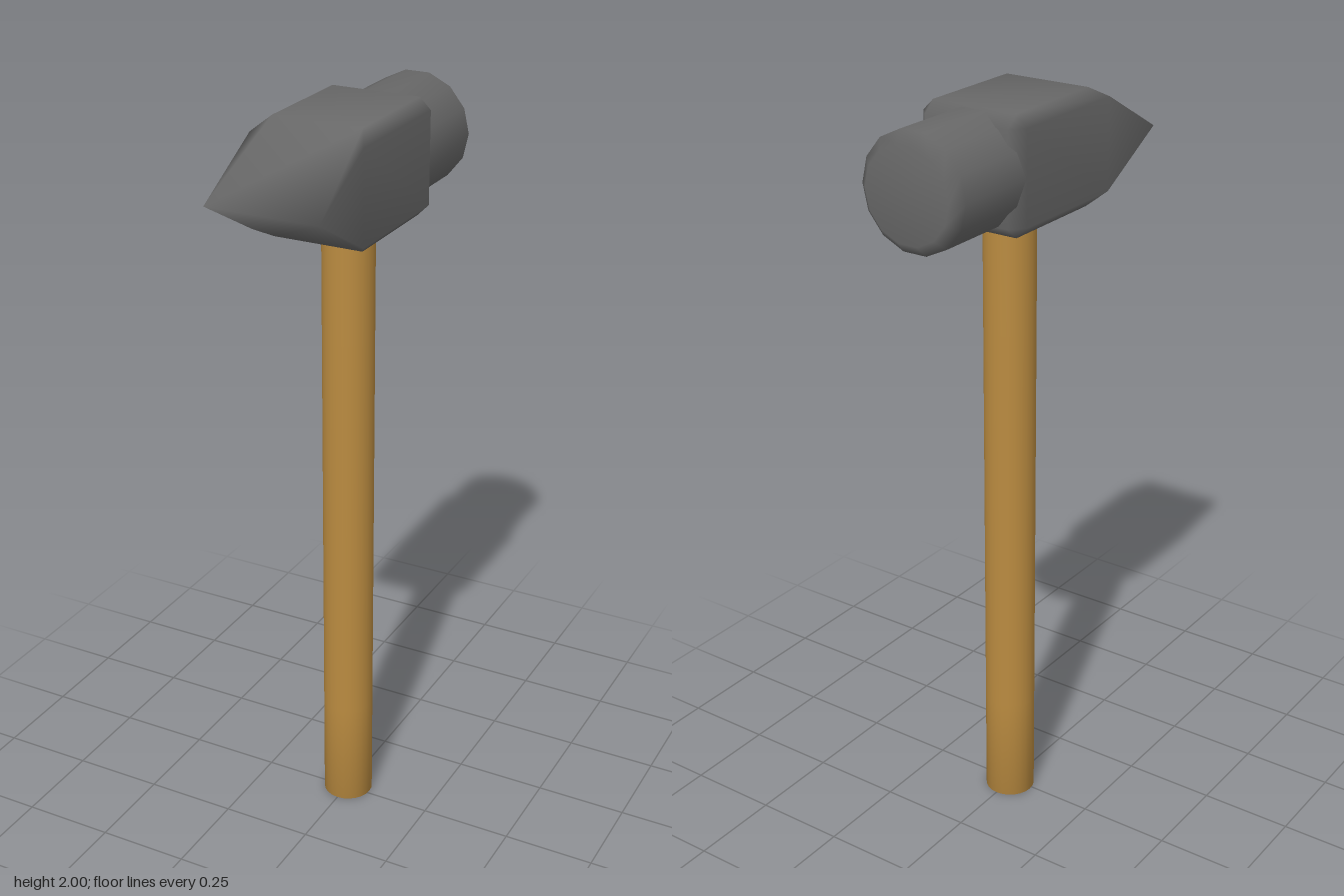
import * as THREE from 'three';
import { mergeVertices } from 'three/addons/utils/BufferGeometryUtils.js';

const HEAD_Y = 1.85;

// Bevelled block that tapers to a full-width horizontal edge at the front
function headGeometry() {
  const R = 0.15, C = 0.12;
  const octagon = [[R, -C], [R, C], [C, R], [-C, R], [-R, C], [-R, -C], [-C, -R], [C, -R]];
  const isSide = (x) => Math.abs(x) === R;
  const sections = [
    ([x, y]) => [Math.sign(x) * C, Math.sign(y) * C, -0.19], // back face
    ([x, y]) => [x, y, -0.155],                              // back bevel
    ([x, y]) => [x, y, isSide(x) ? 0.204 : 0.15],            // start of the wedge
    ([x]) => [Math.sign(x) * R, 0, 0.42],                    // wedge edge
  ];
  const positions = sections.flatMap((place) => octagon.flatMap(place));
  const index = [];
  for (let k = 0; k < 3; k++) {
    for (let j = 0; j < 8; j++) {
      const a = k * 8 + j, b = k * 8 + (j + 1) % 8;
      index.push(a, b, b + 8, a, b + 8, a + 8);
    }
  }
  for (let j = 1; j < 7; j++) index.push(0, j + 1, j);
  let geometry = new THREE.BufferGeometry();
  geometry.setAttribute('position', new THREE.Float32BufferAttribute(positions, 3));
  geometry.setIndex(index);
  geometry = mergeVertices(geometry);
  geometry.computeVertexNormals();
  return geometry;
}

// Smooth turned solid from [radius, height] points, bottom to top
function turned(points, sides) {
  return new THREE.LatheGeometry(points.map(([r, y]) => new THREE.Vector2(r, y)), sides);
}

export function createModel() {
  const steel = new THREE.MeshStandardMaterial({ color: 0x686868 });
  steel.name = 'dark steel';
  const wood = new THREE.MeshStandardMaterial({ color: 0xba8b40 });
  wood.name = 'wood';

  const group = new THREE.Group();
  group.name = 'hammer';
  const add = (name, geometry, material) => {
    const mesh = new THREE.Mesh(geometry, material);
    mesh.name = name;
    group.add(mesh);
    return mesh;
  };

  // Handle, ending inside the head
  const handle = add('handle', turned([[0, 0], [0.068, 0], [0.068, 0.3], [0.068, 1.4], [0.068, 1.75]], 24), wood);
  handle.position.z = -0.01;

  // Wedge-nosed head block
  add('headBlock', headGeometry(), steel).position.y = HEAD_Y;

  // Round striking face at the back, with a chamfered rim
  const face = add('strikingFace', turned([[0.149, 0.1], [0.149, 0.393], [0.12, 0.42], [0, 0.42]], 14), steel);
  face.rotation.set(-Math.PI / 2, Math.PI / 2, 0, 'XYZ');
  face.position.y = HEAD_Y;
  // Turn the profile so a vertex lies on each side, then point it backward
  face.geometry.rotateY(Math.PI / 2);
  face.rotation.set(-Math.PI / 2, 0, 0);

  return group;
}
